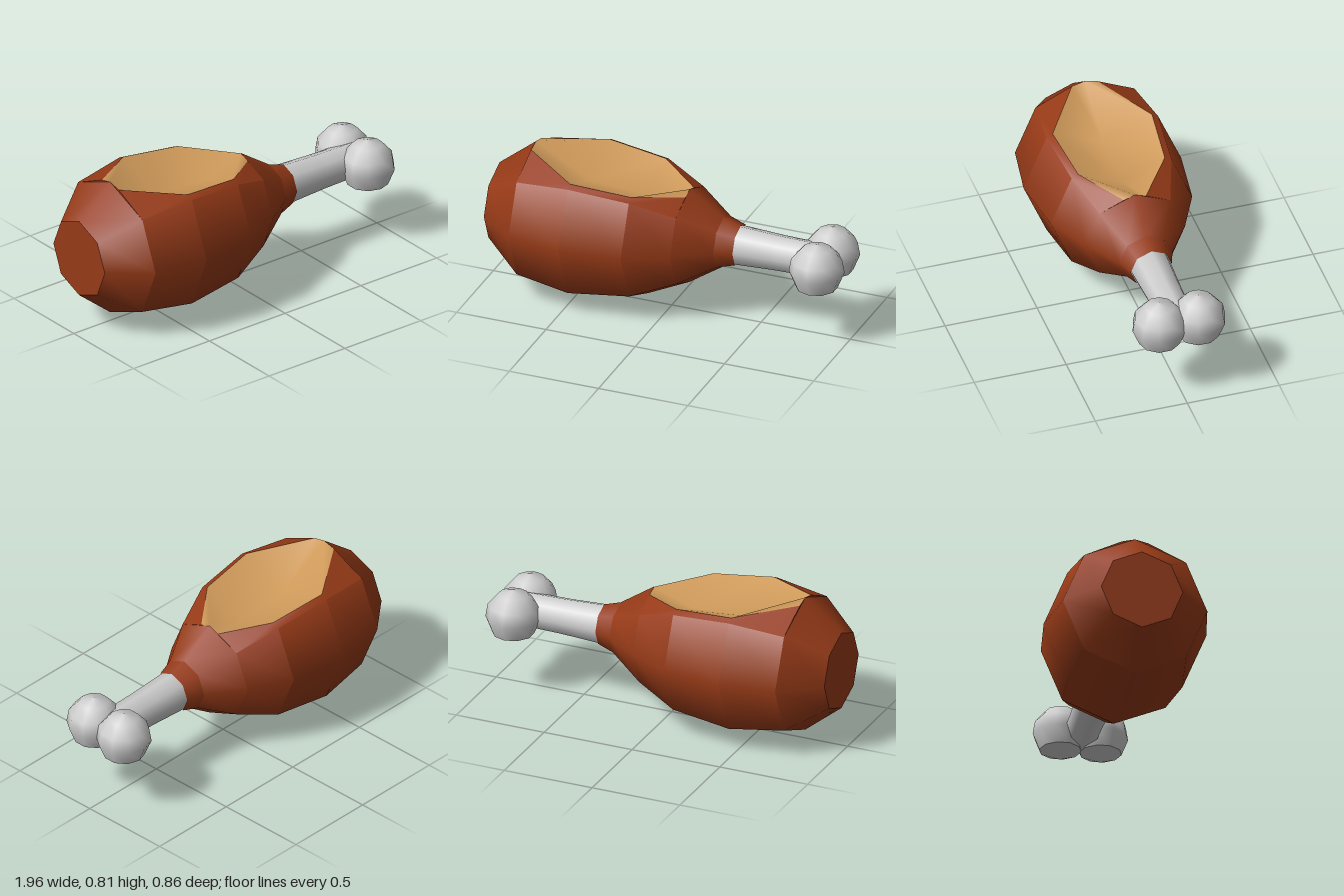
import * as THREE from 'three';
import { mergeGeometries } from 'three/addons/utils/BufferGeometryUtils.js';

const AXIS_Y = 0.43;
const brown = new THREE.MeshStandardMaterial({ color: 0x963a17 });
const tan = new THREE.MeshStandardMaterial({ color: 0xcf9a5a, side: THREE.DoubleSide });
const grey = new THREE.MeshStandardMaterial({ color: 0xcccccc });

// Rings of the meat along x: [x, radius]
const RINGS = [[-0.965, 0.215], [-0.76, 0.38], [-0.46, 0.428], [-0.13, 0.384],
  [0.10, 0.272], [0.29, 0.143], [0.385, 0.112]];
// Bitten section, per ring 1..4: [x, rim y, rim z, floor y]
const BITE = [[-0.76, 0.793, 0.07, 0.81], [-0.46, 0.75, 0.27, 0.64],
  [-0.13, 0.72, 0.235, 0.62], [0.10, 0.68, 0.06, 0.70]];

// Eight-sided band about the x axis; an open band leaves out the top quarter
function band([x0, r0], [x1, r1], open = false) {
  const geo = new THREE.CylinderGeometry(r1, r0, x1 - x0, open ? 6 : 8, 1, true,
    open ? Math.PI * 1.75 : 0, open ? Math.PI * 1.5 : Math.PI * 2);
  geo.rotateZ(-Math.PI / 2);
  return geo.translate((x0 + x1) / 2, AXIS_Y, 0);
}

// Surface lofted through rows of equally many points
function loft(rows) {
  const n = rows[0].length;
  const index = [];
  for (let i = 0; i < rows.length - 1; i++) {
    for (let j = 0; j < n - 1; j++) {
      const a = i * n + j, b = a + n;
      index.push(a, a + 1, b, b, a + 1, b + 1);
    }
  }
  const geo = new THREE.BufferGeometry();
  geo.setAttribute('position', new THREE.Float32BufferAttribute(rows.flat(2), 3));
  geo.setIndex(index);
  geo.computeVertexNormals();
  return geo;
}

function add(group, name, geo, material) {
  const mesh = new THREE.Mesh(geo, material);
  mesh.name = name;
  group.add(mesh);
  return mesh;
}

export function createModel() {
  const group = new THREE.Group();
  group.name = 'drumstick';

  // Meat, with bands 1 to 3 open at the top for the bite
  const bands = [];
  for (let i = 0; i < RINGS.length - 1; i++) {
    bands.push(band(RINGS[i], RINGS[i + 1], i >= 1 && i <= 3));
  }
  const cap = new THREE.CircleGeometry(RINGS[0][1], 8);
  cap.rotateY(-Math.PI / 2).translate(RINGS[0][0], AXIS_Y, 0);
  bands.push(cap);
  add(group, 'meat', mergeGeometries(bands), brown);

  // Skin between the cut bands and the rim of the bite, on both sides
  for (const side of [1, -1]) {
    const rows = BITE.map(([x, y, z], i) => {
      const d = RINGS[i + 1][1] * Math.SQRT1_2;
      const strip = [[x, AXIS_Y + d, side * d], [x, y, side * z]];
      return side > 0 ? strip.reverse() : strip;
    });
    add(group, side > 0 ? 'frontBiteSkin' : 'backBiteSkin', loft(rows), brown);
  }

  // Hollow of the bite
  add(group, 'biteFlesh', loft(BITE.map(([x, y, z, floor]) =>
    [[x, y, -z], [x, floor, 0], [x, y, z]])), tan);

  // Closing edge at each end of the bite
  for (const i of [0, 3]) {
    const [x, y, z, floor] = BITE[i];
    const d = RINGS[i + 1][1] * Math.SQRT1_2;
    const edge = add(group, 'biteLip', loft([
      [[x, AXIS_Y + d, -d], [x, AXIS_Y + d, 0], [x, AXIS_Y + d, d]],
      [[x, y, -z], [x, floor, 0], [x, y, z]]]), brown.clone());
    edge.material.side = THREE.DoubleSide;
  }

  // Bone shaft
  add(group, 'boneShaft', mergeGeometries([
    band([0.36, 0.109], [0.6, 0.098]), band([0.6, 0.098], [0.86, 0.094])]), grey);

  // Two knobs at the end of the bone, each with a hard-edged underside
  const profile = [[0.11, -0.097], [0.145, -0.01], [0.133, 0.06], [0.078, 0.123], [0, 0.147]];
  const lathe = (points) =>
    new THREE.LatheGeometry(points.map(([r, y]) => new THREE.Vector2(r, y)), 10);
  const knob = mergeGeometries([lathe(profile), lathe([[0, -0.147], profile[0]])]);
  for (const side of [1, -1]) {
    add(group, side > 0 ? 'frontKnob' : 'backKnob', knob, grey)
      .position.set(0.855, 0.432, side * 0.106);
  }
  return group;
}
